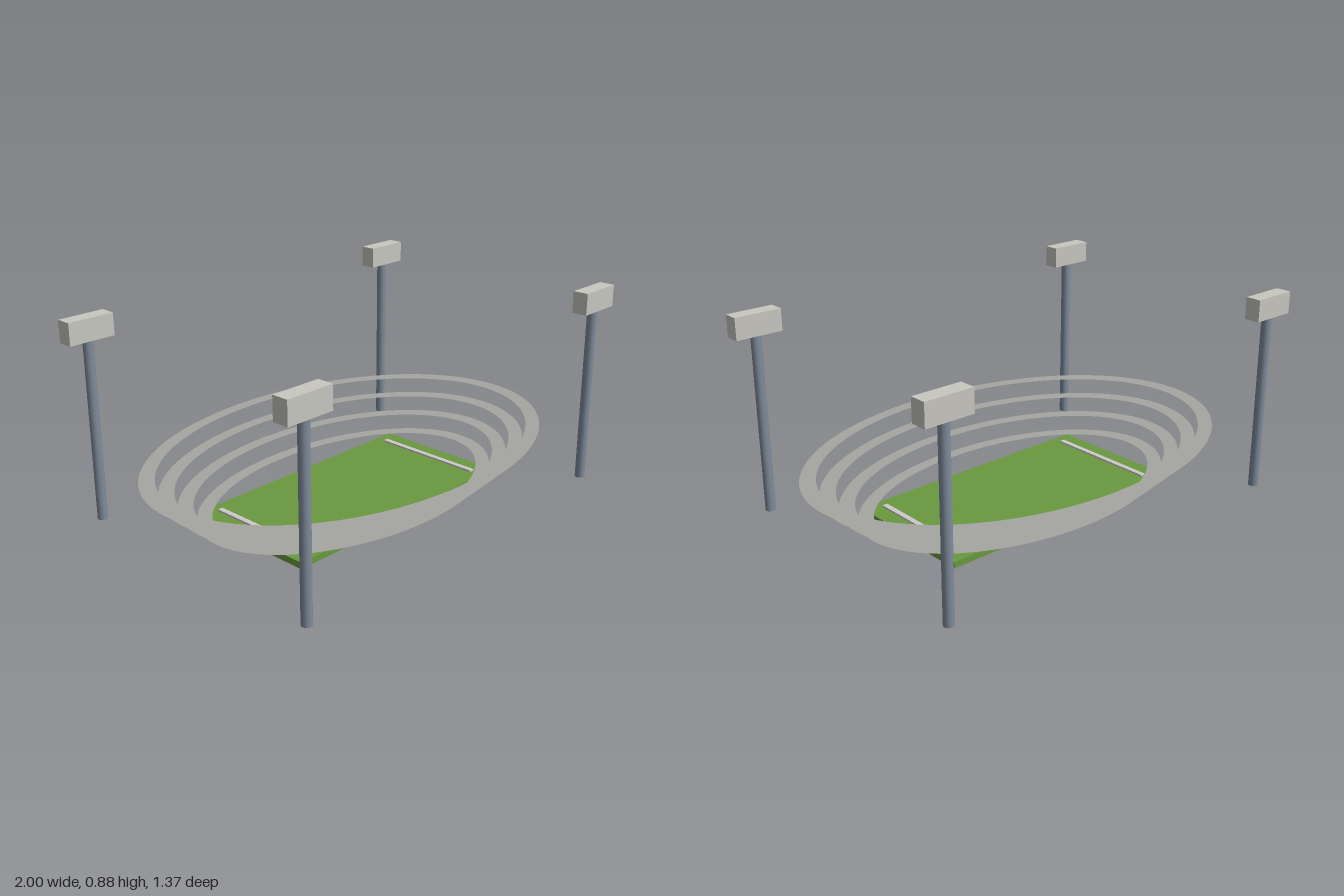
import * as THREE from 'three';

const mat = (name, color, side = THREE.FrontSide) => {
  const m = new THREE.MeshStandardMaterial({ color, side });
  m.name = name;
  return m;
};

export function createModel() {
  const group = new THREE.Group();
  group.name = 'stadium';
  const grass = mat('grass green', 0x6a9a40);
  const chalk = mat('chalk white', 0xcfcacc);
  const concrete = mat('concrete grey', 0xa6a6a2, THREE.DoubleSide);
  const steel = mat('steel blue grey', 0x808c9c);
  const lampGrey = mat('lamp pale grey', 0xc8c7c0);

  const add = (name, geometry, material, x, y, z) => {
    const mesh = new THREE.Mesh(geometry, material);
    mesh.name = name;
    mesh.position.set(x, y, z);
    group.add(mesh);
  };

  // Playing field
  add('field', new THREE.BoxGeometry(1.212, 0.028, 0.625), grass, 0, 0.014, 0);

  // End lines, raised slightly above the grass
  for (const side of [-1, 1]) {
    add('endLine', new THREE.BoxGeometry(0.024, 0.008, 0.523), chalk, side * 0.521, 0.032, 0);
  }

  // Four flat oval seating tiers, widening as they rise
  for (let i = 0; i < 4; i++) {
    const rx = 0.77 + i * 0.0767;
    const rz = 0.475 + i * 0.0697;
    const oval = new THREE.Shape();
    oval.absellipse(0, 0, rx, rz, 0, Math.PI * 2, false);
    const hole = new THREE.Path();
    hole.absellipse(0, 0, rx - 0.07, rz - 0.056, 0, Math.PI * 2, true);
    oval.holes.push(hole);
    const tier = new THREE.ShapeGeometry(oval, 64).rotateX(-Math.PI / 2);
    add('seatingTier', tier, concrete, 0, 0.058 + i * 0.068, 0);
  }

  // Floodlight masts with box lamps at the corners
  const mast = new THREE.CylinderGeometry(0.022, 0.022, 0.786, 16);
  const lamp = new THREE.BoxGeometry(0.208, 0.095, 0.069);
  for (const x of [-0.87, 0.87]) {
    for (const z of [-0.61, 0.61]) {
      add('floodlightMast', mast, steel, x, 0.393, z);
      add('floodlightLamp', lamp, lampGrey, x, 0.833, z);
    }
  }
  return group;
}
